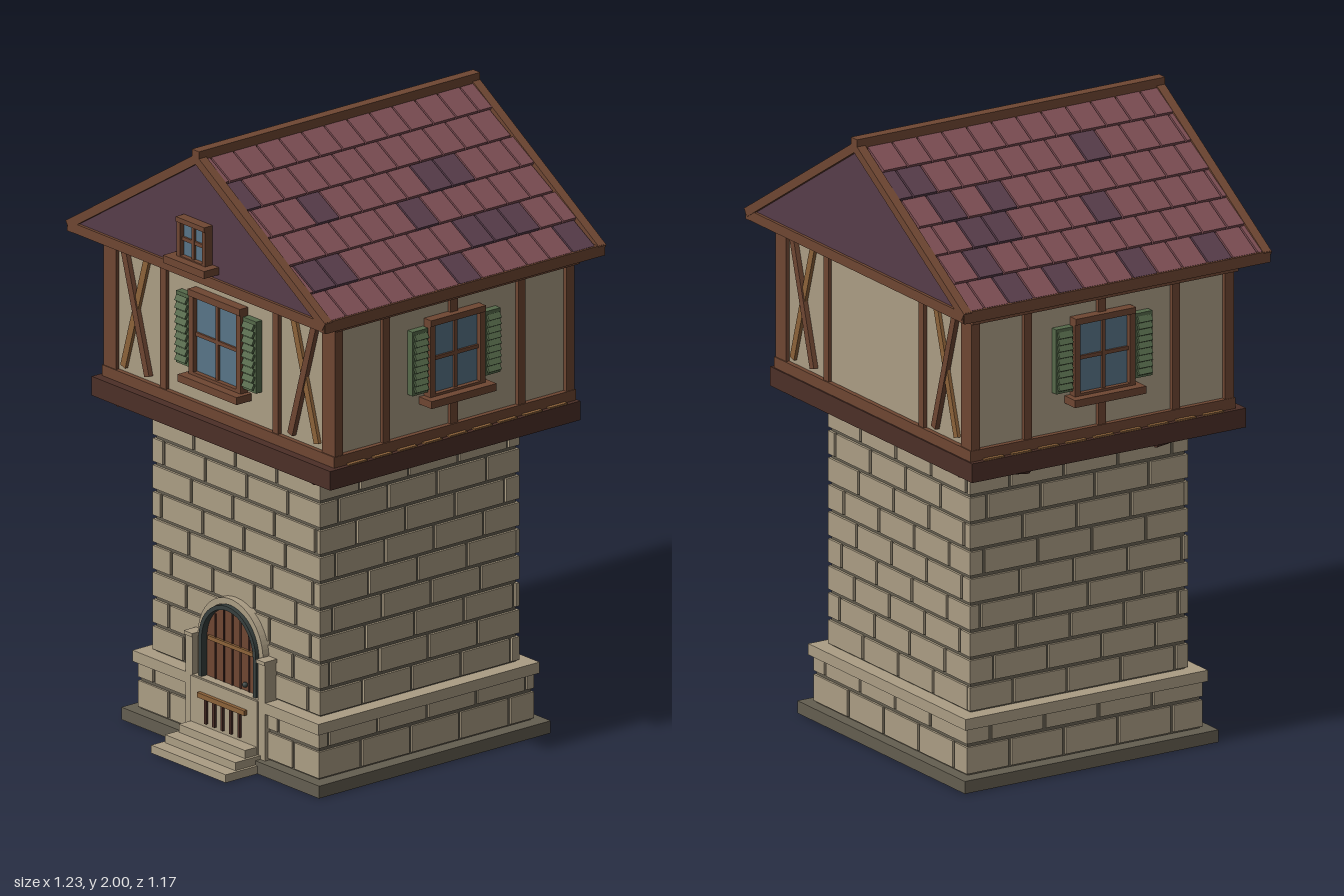
import * as THREE from 'three';
import { mergeGeometries } from 'three/addons/utils/BufferGeometryUtils.js';

const mat = (name, color) => Object.assign(new THREE.MeshStandardMaterial({ color }), { name });
const M = {
  stone: mat('pale stone and plaster', 0xab9d84),
  mortar: mat('mortar', 0x645e50),
  iron: mat('dark iron', 0x363f3d),
  wood: mat('brown wood', 0x6e4632),
  darkWood: mat('dark wood', 0x4c2f27),
  lightWood: mat('light wood', 0x8c6239),
  tile: mat('red roof tile', 0x7c4d53),
  darkTile: mat('purple roof tile', 0x573c4a),
  green: mat('green shutter', 0x55694a),
  glass: mat('window glass', 0x587487),
};

// Box geometry from its extents
function ext(x0, x1, y0, y1, z0, z1) {
  return new THREE.BoxGeometry(x1 - x0, y1 - y0, z1 - z0)
    .translate((x0 + x1) / 2, (y0 + y1) / 2, (z0 + z1) / 2);
}
function add(parent, name, material, geos) {
  const mesh = new THREE.Mesh(Array.isArray(geos) ? mergeGeometries(geos) : geos, material);
  mesh.name = name;
  parent.add(mesh);
  return mesh;
}
function group(parent, name, x = 0, y = 0, z = 0, turn = 0) {
  const g = new THREE.Group();
  g.name = name;
  g.position.set(x, y, z);
  g.rotation.y = turn;
  parent.add(g);
  return g;
}
// Straight timber in the xy plane between two points
function timber(x0, y0, x1, y1, w, z0, z1) {
  return new THREE.BoxGeometry(Math.hypot(x1 - x0, y1 - y0), w, z1 - z0)
    .rotateZ(Math.atan2(y1 - y0, x1 - x0))
    .translate((x0 + x1) / 2, (y0 + y1) / 2, (z0 + z1) / 2);
}

// Staggered bricks around a square tower; rows are [bottom, top]
function bricks(parent, name, h, rows) {
  const geos = [], w = 0.197, gap = 0.006, t = 0.014;
  rows.forEach(([y0, y1], r) => {
    for (let side = 0; side < 4; side++) {
      const shift = (r % 2 ? 0.09 : 0) + ((r * 3 + side * 2) % 5) * 0.012;
      for (let k = -1; k < 6; k++) {
        const a = Math.max(-h, -h - 0.05 + shift + k * w + gap);
        const b = Math.min(h, -h - 0.05 + shift + (k + 1) * w - gap);
        if (b - a < 0.02) continue;
        geos.push(ext(a, b, y0 + gap, y1 - gap, h - t, h).rotateY(side * Math.PI / 2));
      }
    }
  });
  add(parent, name, M.stone, geos);
}

// Framed window with cross bars, sill and optional louvred shutters
function windowUnit(parent, name, w, y0, y1, bar, sillW, shutter) {
  const g = group(parent, name), ym = (y0 + y1) / 2, d = 0.03;
  add(g, 'pane', M.glass, ext(-w + bar / 2, w - bar / 2, y0 + bar / 2, y1 - bar / 2, 0, 0.014));
  add(g, 'windowFrame', M.wood, [
    ext(-w, -w + bar, y0, y1, 0, d), ext(w - bar, w, y0, y1, 0, d),
    ext(-w, w, y1 - bar, y1, 0, d + 0.004), ext(-w, w, y0, y0 + bar, 0, d),
    ext(-0.006, 0.006, y0, y1, 0, 0.022), ext(-w, w, ym - 0.006, ym + 0.006, 0, 0.021),
  ]);
  add(g, 'sill', M.wood, ext(-sillW, sillW, y0 - 0.012, y0 + 0.012, 0, 0.06));
  if (!shutter) return;
  for (const s of [-1, 1]) {
    const c = s * (w + 0.035), slats = [ext(c - 0.031, c + 0.031, y0 + 0.03, y1 - 0.025, 0, 0.024)];
    for (let i = 0; i < 9; i++) {
      const y = y0 + 0.05 + i * (y1 - y0 - 0.095) / 8;
      slats.push(new THREE.BoxGeometry(0.05, 0.02, 0.008).rotateX(-0.5).translate(c, y, 0.029));
    }
    add(g, 'shutter', M.green, slats);
  }
}

// Arched outline standing on y0, springing at y1
function arch(Type, r, y0, y1) {
  const p = new Type();
  p.moveTo(-r, y0); p.lineTo(r, y0); p.lineTo(r, y1);
  p.absarc(0, y1, r, 0, Math.PI, false);
  p.lineTo(-r, y0);
  return p;
}
function archSolid(r, inner, y0, y1, z0, z1) {
  const s = arch(THREE.Shape, r, y0, y1);
  if (inner) s.holes.push(arch(THREE.Path, inner, y0 + 0.002, y1));
  return new THREE.ExtrudeGeometry(s, { depth: z1 - z0, bevelEnabled: false, curveSegments: 16 }).translate(0, 0, z0);
}

function buildTower(root) {
  const g = group(root, 'tower', 0, 0, -0.025);
  add(g, 'baseSlab', M.mortar, ext(-0.47, 0.47, 0, 0.04, -0.463, 0.463));
  add(g, 'plinthCore', M.mortar, ext(-0.423, 0.423, 0.04, 0.2, -0.423, 0.423));
  bricks(g, 'plinthBricks', 0.43, [[0.04, 0.137], [0.137, 0.196]]);
  add(g, 'plinthBand', M.stone, ext(-0.442, 0.442, 0.192, 0.228, -0.442, 0.442));
  add(g, 'towerCore', M.mortar, ext(-0.39, 0.39, 0.2, 1.04, -0.39, 0.39));
  const rows = [];
  for (let i = 0; i < 10; i++) rows.push([0.228 + i * 0.0872, Math.min(0.228 + (i + 1) * 0.0872, 1.04)]);
  bricks(g, 'towerBricks', 0.398, rows);
}

function buildEntrance(root) {
  const g = group(root, 'entrance');
  add(g, 'doorArch', M.stone, archSolid(0.155, 0.135, 0.225, 0.355, 0.36, 0.397));
  add(g, 'doorFrame', M.iron, archSolid(0.136, 0.122, 0.225, 0.352, 0.36, 0.41));
  add(g, 'door', M.wood, archSolid(0.124, 0, 0.225, 0.35, 0.36, 0.388));
  add(g, 'doorSeams', M.darkWood, [-0.08, -0.04, 0, 0.04, 0.08].map(x =>
    ext(x - 0.003, x + 0.003, 0.228, 0.35 + Math.sqrt(0.0144 - x * x), 0.387, 0.391)));
  add(g, 'doorBar', M.lightWood, ext(-0.11, 0.11, 0.35, 0.363, 0.385, 0.397));
  add(g, 'doorKnob', M.iron, new THREE.SphereGeometry(0.009, 10, 8).translate(0.068, 0.25, 0.396));
  add(g, 'landing', M.stone, ext(-0.158, 0.158, 0.04, 0.226, 0.36, 0.424));
  for (const s of [-1, 1]) {
    add(g, 'stonePost', M.stone, [
      ext(s * 0.172 - 0.017, s * 0.172 + 0.017, 0.04, 0.35, 0.37, 0.418),
      ext(s * 0.172 - 0.02, s * 0.172 + 0.02, 0.35, 0.362, 0.37, 0.422)]);
  }
  add(g, 'grateRail', M.lightWood, ext(-0.112, 0.112, 0.17, 0.186, 0.42, 0.437));
  add(g, 'grateBars', M.darkWood, [-2, -1, 0, 1, 2].map(i =>
    ext(i * 0.04 - 0.005, i * 0.04 + 0.005, 0.09, 0.172, 0.42, 0.432)));
  for (let i = 0; i < 3; i++) {
    const w = 0.177 - i * 0.01;
    add(g, 'step', M.stone, ext(-w, w, i * 0.026, (i + 1) * 0.026, 0.4, 0.565 - i * 0.047));
  }
}

function buildUpperFloor(root) {
  const deck = group(root, 'deck', 0, 0, -0.025);
  add(deck, 'platform', M.darkWood, ext(-0.567, 0.567, 1.035, 1.097, -0.5, 0.5));
  for (const sx of [-1, 1]) {
    const pegs = [];
    for (let i = 0; i < 9; i++) pegs.push(ext(sx * 0.557 - 0.008, sx * 0.557 + 0.008, 1.097, 1.102, -0.45 + i * 0.1, -0.38 + i * 0.1));
    add(deck, 'deckPlanks', M.lightWood, pegs);
    // sloping brackets beneath the corners
    for (const sz of [-1, 1]) {
      const b = add(deck, 'bracket', M.darkWood, new THREE.CylinderGeometry(0.023, 0.023, 0.25, 10).rotateX(Math.PI / 2));
      b.position.set(sx * 0.465, 1.028, sz * 0.355);
      b.rotation.x = -sz * 0.13;
    }
  }

  const g = group(root, 'upperFloor', 0, 0, -0.037);
  const hx = 0.535, hz = 0.467;
  add(g, 'plasterWalls', M.stone, ext(-hx, hx, 1.09, 1.58, -hz, hz));
  add(g, 'sillBeam', M.wood, ext(-0.552, 0.552, 1.097, 1.132, -hz - 0.016, hz + 0.016));
  add(g, 'topBeam', M.wood, ext(-0.567, 0.567, 1.543, 1.575, -hz - 0.018, hz + 0.018));

  // front and back timbering
  for (const back of [0, 1]) {
    const f = group(g, back ? 'backWall' : 'frontWall', 0, 0, back ? -hz : hz, back * Math.PI);
    const posts = [], braceA = [], braceB = [];
    for (const s of [-1, 1]) {
      posts.push(ext(s * 0.52 - 0.03, s * 0.52 + 0.03, 1.12, 1.55, -0.02, 0.012));
      posts.push(ext(s * 0.267 - 0.014, s * 0.267 + 0.014, 1.12, 1.55, 0, 0.012));
      braceA.push(timber(s * 0.46, 1.15, s * 0.345, 1.54, 0.024, 0, 0.011));
      braceB.push(timber(s * 0.34, 1.15, s * 0.455, 1.54, 0.024, 0, 0.016));
    }
    add(f, 'posts', M.wood, posts);
    add(f, 'braces', M.wood, braceB);
    add(f, 'crossBraces', M.lightWood, braceA);
    if (!back) windowUnit(f, 'frontWindow', 0.124, 1.212, 1.5, 0.022, 0.14, true);
  }
  // side timbering
  for (const s of [-1, 1]) {
    const f = group(g, 'sideWall', s * hx, 0, 0, s * Math.PI / 2);
    add(f, 'posts', M.wood, [
      ...[-0.27, 0.27].map(x => ext(x - 0.014, x + 0.014, 1.12, 1.55, 0, 0.013)),
      ext(-0.014, 0.014, 1.12, 1.23, 0, 0.013), ext(-0.014, 0.014, 1.48, 1.55, 0, 0.013)]);
    windowUnit(f, 'sideWindow', 0.11, 1.232, 1.495, 0.02, 0.13, true);
  }
}

function buildRoof(root) {
  const g = group(root, 'roof', 0, 0, -0.025);
  const top = 1.965, low = 1.59, ang = Math.atan2(top - low, 0.6);
  const gable = new THREE.Shape([[-0.6, low], [0.6, low], [0, top]].map(p => new THREE.Vector2(...p)));
  add(g, 'gableBody', M.darkTile,
    new THREE.ExtrudeGeometry(gable, { depth: 1.1, bevelEnabled: false }).translate(0, 0, -0.55));
  add(g, 'eaveFrame', M.wood, [
    ext(-0.61, 0.61, 1.572, 1.604, 0.53, 0.56), ext(-0.61, 0.61, 1.572, 1.604, -0.56, -0.53),
    ext(-0.615, -0.59, 1.57, 1.606, -0.558, 0.558), ext(0.59, 0.615, 1.57, 1.606, -0.558, 0.558)]);
  add(g, 'soffit', M.darkWood, ext(-0.595, 0.595, 1.574, 1.592, -0.54, 0.54));
  add(g, 'ridgeBeam', M.wood, ext(-0.017, 0.017, 1.96, 2.0, -0.562, 0.562));

  // odd-coloured tiles, listed by course upward from the eave
  const dark = {
    '-1': [[2, 4, 7, 10], [2], [2, 3, 7], [2, 4], [0, 1, 8], []],
    '1': [[0, 1, 6], [2, 3, 4, 10, 11], [6], [3, 4, 9], [12], []],
  };
  const n = [Math.sin(ang), Math.cos(ang)], pitch = 0.0905;
  for (const s of [-1, 1]) {
    const plain = [], odd = [];
    for (let c = 0; c < 6; c++) {
      const onA = (c % 2 === 0) === (s < 0);
      for (let k = 0; k < 14; k++) {
        const z0 = (onA ? -0.571 : -0.616) + k * pitch;
        const a = Math.max(z0 + 0.003, -0.536), b = Math.min(z0 + pitch - 0.003, 0.538);
        if (b - a < 0.01) continue;
        const x = 0.55 - c * 0.1, y = top - x * Math.tan(ang);
        const geo = new THREE.BoxGeometry(0.115, 0.014, b - a)
          .rotateZ(-s * (ang - 0.05))
          .translate(s * (x + n[0] * 0.009), y + n[1] * 0.009, (a + b) / 2);
        (dark[s][c].includes(k) ? odd : plain).push(geo);
      }
    }
    add(g, 'roofTiles', M.tile, plain);
    add(g, 'oddRoofTiles', M.darkTile, odd);
    // sloping boards along both gables
    add(g, 'bargeBoards', M.wood, [[0.532, 0.562], [-0.562, -0.532]].map(([z0, z1]) =>
      timber(0, top + 0.006, s * 0.61, low + 0.002, 0.028, z0, z1)));
  }
  const front = group(g, 'gableFront', 0, 0, 0.55);
  windowUnit(front, 'gableWindow', 0.068, 1.632, 1.772, 0.016, 0.098, false);
}

export function createModel() {
  const root = new THREE.Group();
  root.name = 'watchtowerHouse';
  buildTower(root);
  buildEntrance(root);
  buildUpperFloor(root);
  buildRoof(root);
  return root;
}
